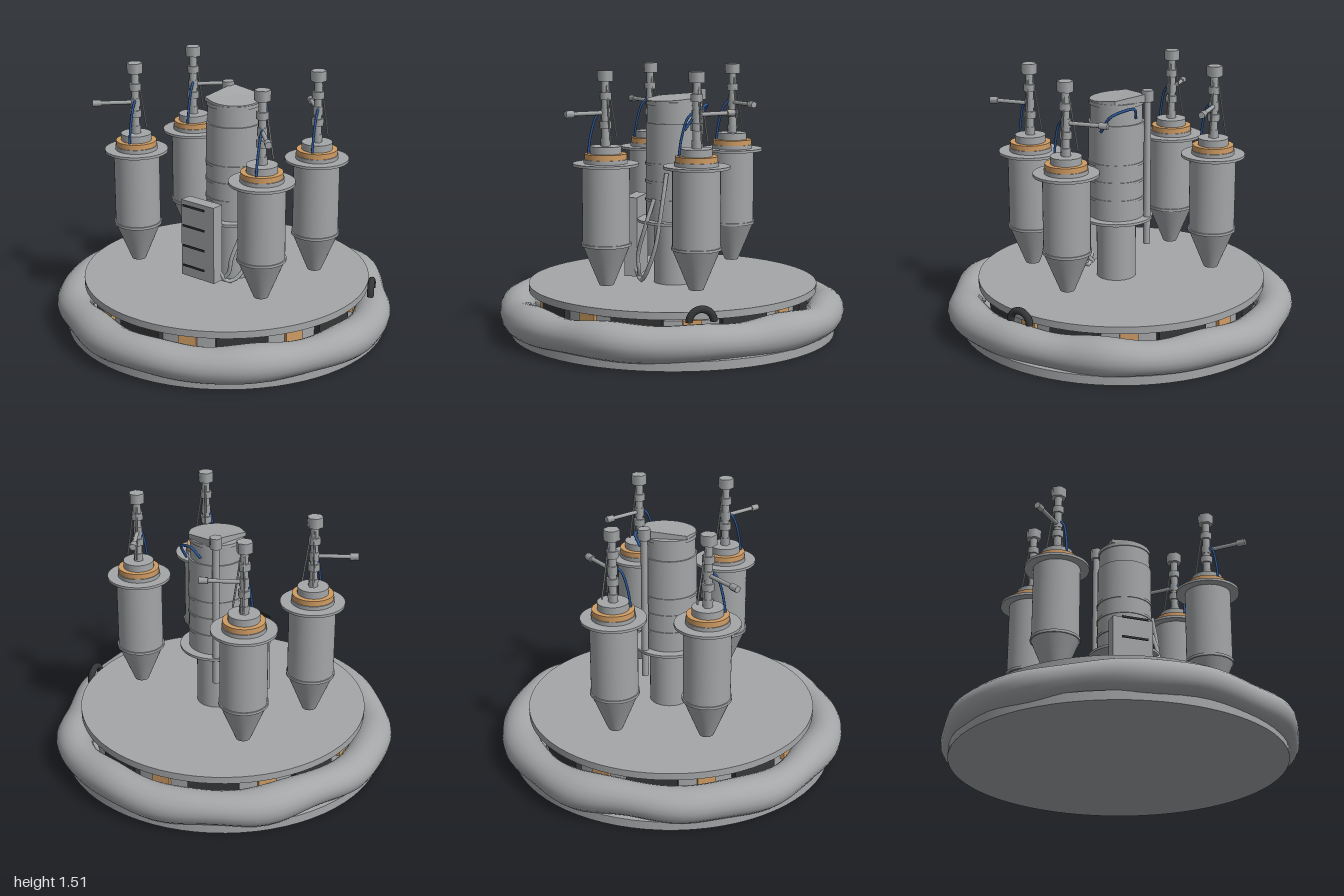
import * as THREE from 'three';

const mat = (name, color, extra = {}) => {
  const m = new THREE.MeshStandardMaterial({ color, ...extra });
  m.name = name;
  return m;
};
const V = (x, y, z) => new THREE.Vector3(x, y, z);

export function createModel() {
  const grey = mat('grey metal', 0xa4a6a8);
  const orange = mat('copper orange', 0xd09c63);
  const blue = mat('blue cable', 0x2d5a9c);
  const dark = mat('dark rubber', 0x353637);
  const pale = mat('pale hose', 0xacb0b0);

  const root = new THREE.Group();
  root.name = 'buoyPlatform';

  const add = (parent, name, geo, material, x = 0, y = 0, z = 0) => {
    const m = new THREE.Mesh(geo, material);
    m.name = name;
    m.position.set(x, y, z);
    parent.add(m);
    return m;
  };
  // upright cylinder given by its bottom and top heights
  const drum = (parent, name, r0, r1, y0, y1, material = grey, seg = 40, x = 0, z = 0) =>
    add(parent, name, new THREE.CylinderGeometry(r1, r0, y1 - y0, seg), material, x, (y0 + y1) / 2, z);
  // straight rod between two points
  const rod = (parent, name, a, b, r, material = grey, seg = 8) => {
    const d = b.clone().sub(a);
    const m = add(parent, name, new THREE.CylinderGeometry(r, r, d.length(), seg), material);
    m.position.copy(a).add(b).multiplyScalar(0.5);
    m.quaternion.setFromUnitVectors(V(0, 1, 0), d.normalize());
    return m;
  };
  const cable = (parent, name, pts, r, material) =>
    add(parent, name, new THREE.TubeGeometry(
      new THREE.CatmullRomCurve3(pts.map((p) => V(...p))), 28, r, 8), material);

  // ---- floating base ----
  const base = new THREE.Group();
  base.name = 'base';
  base.position.x = -0.012;
  root.add(base);
  drum(base, 'bottomPlate', 0.93, 0.93, 0, 0.05, grey, 72);
  drum(base, 'innerDrum', 0.74, 0.74, 0.05, 0.22, grey, 72);
  drum(base, 'deck', 0.825, 0.825, 0.245, 0.285, grey, 72);

  // dark supports alternate with small orange plates around the drum
  for (let i = 0; i < 16; i++) {
    const a = (i / 16) * Math.PI * 2;
    const isDark = i % 2 === 0;
    const block = add(base, isDark ? 'deckSupport' : 'orangePlate',
      new THREE.BoxGeometry(isDark ? 0.28 : 0.1, isDark ? 0.12 : 0.09, 0.05),
      isDark ? dark : orange, Math.sin(a) * 0.735, isDark ? 0.185 : 0.18, Math.cos(a) * 0.735);
    block.rotation.y = a;
  }

  // soft, uneven float ring
  const ringGeo = new THREE.TorusGeometry(0.88, 0.105, 20, 96);
  ringGeo.rotateX(Math.PI / 2);
  const p = ringGeo.attributes.position;
  for (let i = 0; i < p.count; i++) {
    const x = p.getX(i), y = p.getY(i), z = p.getZ(i);
    const a = Math.atan2(z, x);
    const r = Math.hypot(x, z) - 0.88;
    const dent = Math.exp(-(((a + 0.72) / 0.42) ** 2));
    const R = 0.885 + 0.006 * Math.sin(5 * a + 1) + 0.006 * Math.sin(9 * a) - 0.055 * dent;
    const swell = 1 + 0.05 * Math.sin(7 * a + 2) + 0.04 * Math.sin(11 * a);
    const rr = R + r * swell;
    const lift = 0.006 * Math.sin(4 * a + 1) + 0.005 * Math.sin(10 * a);
    p.setXYZ(i, Math.cos(a) * rr, 0.13 + y * 0.93 * swell + lift, Math.sin(a) * rr);
  }
  // normals of the ring are averaged over the closed seams
  ringGeo.computeVertexNormals();
  const n = ringGeo.attributes.normal;
  const weld = (i, j) => {
    const v = new THREE.Vector3().fromBufferAttribute(n, i)
      .add(new THREE.Vector3().fromBufferAttribute(n, j)).normalize();
    n.setXYZ(i, v.x, v.y, v.z);
    n.setXYZ(j, v.x, v.y, v.z);
  };
  for (let j = 0; j <= 20; j++) weld(j * 97, j * 97 + 96);
  for (let i = 0; i <= 96; i++) weld(i, 20 * 97 + i);
  add(root, 'floatRing', ringGeo, grey);

  // grab handle on the ring
  const handle = add(root, 'grabHandle',
    new THREE.TorusGeometry(0.066, 0.02, 10, 20, Math.PI), dark, 0.76, 0.24, -0.355);
  handle.rotation.y = -Math.atan2(0.15, 0.08);

  // ---- four canisters ----
  const canister = (x, z, armX, armZ) => {
    const g = new THREE.Group();
    g.name = 'canister';
    g.position.set(x, 0, z);
    root.add(g);
    drum(g, 'cone', 0.04, 0.13, 0.335, 0.555);
    drum(g, 'lowerRim', 0.137, 0.137, 0.555, 0.57);
    drum(g, 'body', 0.13, 0.13, 0.57, 0.995);
    drum(g, 'flange', 0.18, 0.18, 0.993, 1.008);
    drum(g, 'collar', 0.12, 0.12, 1.008, 1.03);
    drum(g, 'orangeRing', 0.115, 0.115, 1.03, 1.06, orange);
    drum(g, 'neck', 0.086, 0.086, 1.06, 1.1);
    drum(g, 'post', 0.022, 0.022, 1.1, 1.46, grey, 12);
    for (const [y0, y1, r] of [[1.1, 1.145, 0.028], [1.195, 1.235, 0.034], [1.255, 1.305, 0.028],
      [1.35, 1.39, 0.034], [1.45, 1.508, 0.045]])
      drum(g, 'hexFitting', r, r, y0, y1, grey, 6).material = grey;
    const at = (t) => V(armX * t, 1.28, armZ * t);
    rod(g, 'arm', at(0), at(0.85), 0.012);
    rod(g, 'armKnob', at(0.8), at(1), 0.02, grey, 6);
    for (const [sx, sz] of [[-0.05, -0.05], [0.045, -0.04]])
      rod(g, 'stay', V(sx * 0.3, 1.43, sz * 0.3), V(sx, 1.13, sz), 0.005);
    cable(g, 'blueCable', [[0.01, 1.3, 0.01], [0.022, 1.26, 0.045], [0.028, 1.16, 0.075],
      [0.03, 1.06, 0.09]], 0.007, blue);
  };
  canister(-0.465, 0.258, -0.17, 0.17);
  canister(0.435, 0.258, 0.17, 0.17);
  canister(-0.465, -0.248, 0.17, -0.165);
  canister(0.435, -0.248, -0.17, -0.165);

  // ---- central column ----
  const col = new THREE.Group();
  col.name = 'centralColumn';
  col.position.set(0.027, 0, -0.015);
  root.add(col);
  drum(col, 'stem', 0.112, 0.112, 0.285, 0.64);
  drum(col, 'columnFlange', 0.207, 0.207, 0.637, 0.652);
  drum(col, 'columnBody', 0.156, 0.156, 0.652, 1.2);
  drum(col, 'columnTop', 0.147, 0.147, 1.2, 1.3);
  drum(col, 'columnRim', 0.153, 0.153, 1.3, 1.32);
  for (const y of [0.765, 0.87, 0.97]) drum(col, 'band', 0.161, 0.161, y - 0.007, y + 0.007);

  // sloped lid: a flat triangle folded down into a round segment
  const prism = (name, pts, height) => {
    const geo = new THREE.ExtrudeGeometry(
      new THREE.Shape(pts.map(([x, z]) => new THREE.Vector2(x, -z))), { depth: 1, bevelEnabled: false });
    geo.rotateX(-Math.PI / 2);
    const q = geo.attributes.position;
    for (let i = 0; i < q.count; i++) q.setY(i, q.getY(i) > 0.5 ? height(q.getX(i), q.getZ(i)) : 0);
    geo.computeVertexNormals();
    add(root, name, geo, grey, 0, 1.32, 0);
  };
  const B = [0.1, -0.155], C = [-0.09, 0.1];
  prism('lidPeak', [[-0.09, -0.155], B, C],
    (x, z) => 0.045 - 0.023 * ((x + 0.09) / 0.19 + (z + 0.155) / 0.255));
  const arc = [];
  for (let i = 1; i < 16; i++) {
    const a = THREE.MathUtils.degToRad(-62 + (197 * i) / 16);
    arc.push([0.027 + Math.cos(a) * 0.15, -0.015 + Math.sin(a) * 0.15]);
  }
  prism('lidSlope', [B, ...arc, C],
    (x, z) => Math.max(0.003, 0.022 - 0.09 * ((x - B[0]) * 0.8 + (z - B[1]) * 0.6)));

  // side pipe with hexagonal cap
  drum(root, 'sidePipe', 0.02, 0.02, 0.49, 1.32, grey, 16, -0.108, -0.135);
  drum(root, 'pipeCap', 0.036, 0.036, 1.32, 1.383, grey, 6, -0.108, -0.135);

  // control cabinet with dark slots
  add(root, 'cabinet', new THREE.BoxGeometry(0.235, 0.455, 0.075), grey, -0.018, 0.543, 0.218);
  for (const y of [0.755, 0.635, 0.515, 0.395])
    add(root, 'cabinetSlot', new THREE.BoxGeometry(0.155, 0.012, 0.006), dark, -0.018, y, 0.29);

  // hoses and cables
  cable(root, 'longHose', [[0.2, 0.93, -0.02], [0.222, 0.75, 0], [0.21, 0.5, 0.045],
    [0.165, 0.33, 0.12], [0.12, 0.305, 0.155], [0.08, 0.38, 0.2]], 0.012, pale);
  cable(root, 'shortHose', [[0.17, 0.78, 0.06], [0.19, 0.64, 0.1], [0.15, 0.45, 0.16],
    [0.13, 0.36, 0.16], [0.09, 0.31, 0.17]], 0.012, pale);
  cable(root, 'columnCable', [[-0.02, 1.24, -0.17], [0.01, 1.3, -0.205], [0.08, 1.29, -0.195],
    [0.14, 1.26, -0.175], [0.168, 1.17, -0.115]], 0.008, blue);

  return root;
}
